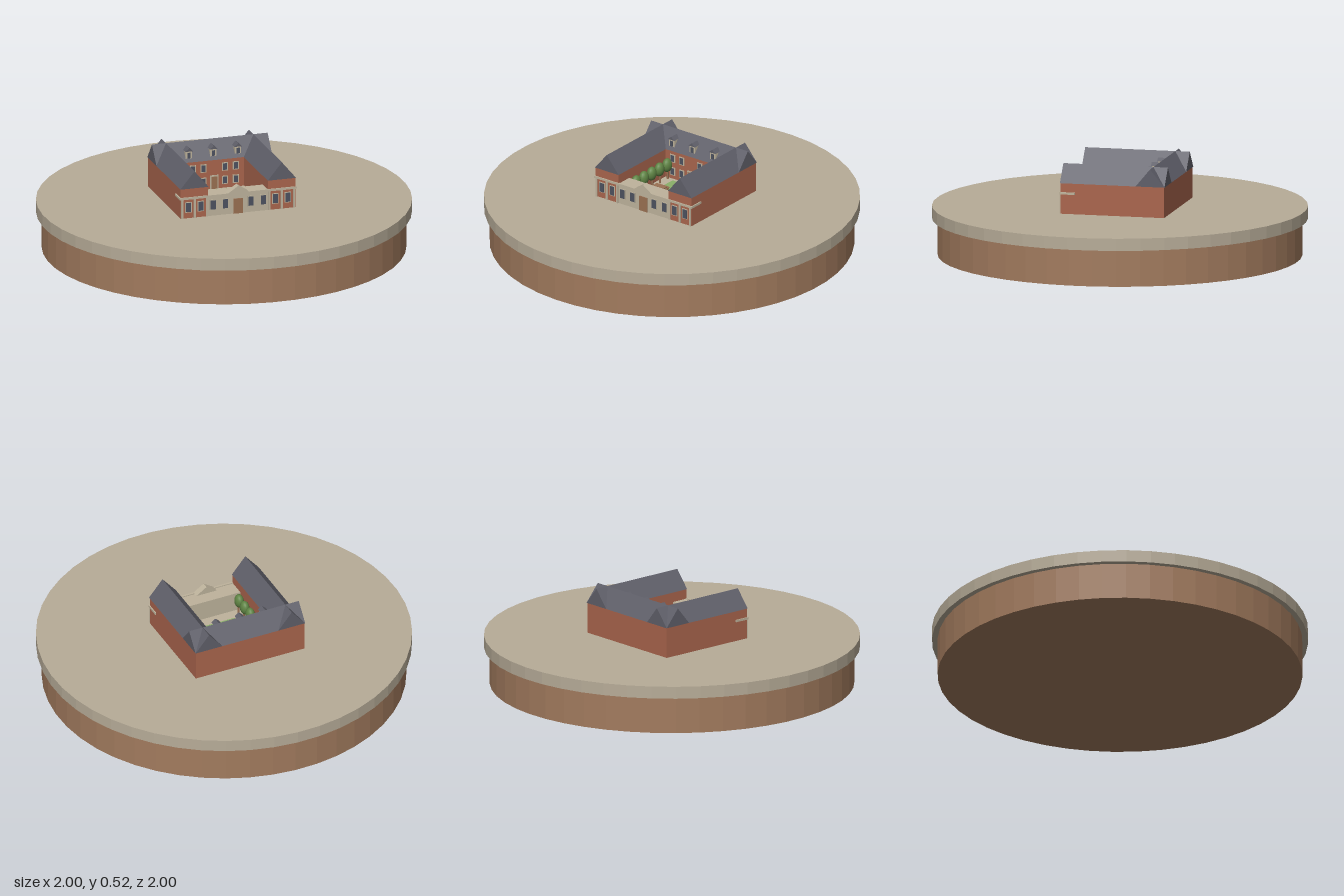
import * as THREE from 'three';

const mat = (name, color, extra = {}) => {
  const m = new THREE.MeshStandardMaterial({ color, ...extra });
  m.name = name;
  return m;
};

export function createModel() {
  const sand = mat('sand', 0xb7ac98, { flatShading: true });
  const earth = mat('earth', 0xa27b5e, { flatShading: true });
  const brick = mat('brick', 0xaa654d);
  const slate = mat('slate', 0x5f5f69);
  const stone = mat('stone', 0xbeb39c);
  const grass = mat('grass', 0x8aaf69);
  const leaf = mat('leaf', 0x5f8444);
  const wood = mat('wood', 0x9a7052);
  const glass = mat('glass', 0x4d5260);

  const model = new THREE.Group();
  model.name = 'courtyardHouseOnDisc';
  const add = (parent, name, geo, material, x = 0, y = 0, z = 0) => {
    const mesh = new THREE.Mesh(geo, material);
    mesh.name = name;
    mesh.position.set(x, y, z);
    parent.add(mesh);
    return mesh;
  };
  // Box placed by its bottom centre
  const box = (parent, name, material, w, h, d, x, y, z) =>
    add(parent, name, new THREE.BoxGeometry(w, h, d), material, x, y + h / 2, z);
  // Triangular prism running along z, centred, base at y = 0
  const prism = (w, h, len) => {
    const s = new THREE.Shape([[-w / 2, 0], [w / 2, 0], [0, h]].map(p => new THREE.Vector2(...p)));
    return new THREE.ExtrudeGeometry(s, { depth: len, bevelEnabled: false }).translate(0, 0, -len / 2);
  };

  // Round plinth
  add(model, 'plinth', new THREE.CylinderGeometry(0.97, 0.97, 0.2, 48), earth, 0, 0.1, 0);
  add(model, 'plinthTop', new THREE.CylinderGeometry(1, 1, 0.066, 48), sand, 0, 0.232, 0);

  // House, turned on the plinth; its local floor is y = 0
  const house = new THREE.Group();
  house.name = 'house';
  house.position.set(0.011, 0.265, -0.034);
  house.rotation.y = -THREE.MathUtils.degToRad(20);
  model.add(house);

  const W = 0.64, D = 0.566, T = 0.152, H = 0.165, R = 0.095;
  const front = D / 2, wingX = (W - T) / 2, backZ = -(D - T) / 2;

  // Brick wings and slate gable roofs
  for (const s of [-1, 1]) {
    box(house, 'wingWall', brick, T, H, D, s * wingX, 0, 0);
    add(house, 'wingRoof', prism(T + 0.006, R, D + 0.006), slate, s * wingX, H, 0);
  }
  box(house, 'backWall', brick, W - 2 * T, H, T, 0, 0, backZ);
  add(house, 'backRoof', prism(T + 0.006, R, W + 0.006), slate, 0, H, backZ).rotation.y = Math.PI / 2;

  // Low stone entrance range between the wings
  const innerW = W - 2 * T;
  box(house, 'entranceRange', stone, innerW, 0.112, 0.095, 0, 0, front - 0.0475);
  box(house, 'frontCornice', stone, W + 0.012, 0.012, 0.012, 0, 0.105, front);
  for (const s of [-1, 1]) box(house, 'sideCornice', stone, 0.012, 0.012, 0.085, s * W / 2, 0.105, front - 0.0365);
  add(house, 'pediment', prism(0.12, 0.04, 0.036), stone, 0, 0.115, front - 0.012);
  box(house, 'door', wood, 0.052, 0.083, 0.006, 0, 0, front + 0.002);

  // Front windows and wing pilasters, mirrored
  for (const s of [-1, 1]) {
    for (const x of [0.072, 0.14, 0.208, 0.277]) {
      box(house, 'windowFrame', stone, 0.036, 0.058, 0.004, s * x, 0.032, front + 0.001);
      box(house, 'windowPane', glass, 0.028, 0.05, 0.006, s * x, 0.036, front + 0.002);
    }
    for (const x of [0.174, 0.243, 0.312])
      box(house, 'pilaster', stone, 0.011, 0.106, 0.008, s * x, 0, front + 0.002);
  }

  // Courtyard face of the back wing
  const inner = -D / 2 + T;
  for (const x of [-0.12, -0.06, 0.06, 0.12]) for (const y of [0.025, 0.1]) {
    box(house, 'courtWindowFrame', stone, 0.034, 0.046, 0.004, x, y, inner + 0.001);
    box(house, 'courtWindowPane', glass, 0.022, 0.036, 0.006, x, y + 0.005, inner + 0.002);
  }
  box(house, 'courtDoorFrame', stone, 0.046, 0.08, 0.004, 0, 0, inner + 0.001);
  box(house, 'courtDoor', wood, 0.034, 0.072, 0.006, 0, 0, inner + 0.002);

  // Dormers on the inner slope of the back roof
  for (const x of [-0.137, 0, 0.137]) {
    const dormer = new THREE.Group();
    dormer.name = 'dormer';
    dormer.position.set(x, H, inner - 0.032);
    house.add(dormer);
    box(dormer, 'dormerBody', stone, 0.036, 0.05, 0.04, 0, 0.008, 0);
    box(dormer, 'dormerPane', glass, 0.018, 0.03, 0.004, 0, 0.02, 0.021);
    add(dormer, 'dormerRoof', prism(0.044, 0.018, 0.05), slate, 0, 0.058, 0);
  }

  // Courtyard paving and lawn
  box(house, 'paving', stone, innerW, 0.004, 0.33, 0, 0, 0.03);
  box(house, 'lawn', grass, 0.268, 0.008, 0.228, 0.031, 0, 0.008);

  // Row of round trees along one wing
  for (let i = 0; i < 5; i++) {
    const z = -0.115 + i * 0.068;
    add(house, 'treeTrunk', new THREE.CylinderGeometry(0.005, 0.006, 0.06, 8), wood, -0.142, 0.03, z);
    add(house, 'treeCrown', new THREE.SphereGeometry(0.031, 16, 12).scale(0.8, 1.25, 1), leaf, -0.146, 0.082, z);
  }

  // Picnic tables
  for (const [x, turn] of [[-0.068, 0.05], [0.126, -0.08]]) {
    const table = new THREE.Group();
    table.name = 'picnicTable';
    table.position.set(x, 0.006, 0.048);
    table.rotation.y = turn;
    house.add(table);
    box(table, 'tableTop', wood, 0.072, 0.005, 0.036, 0, 0.032, 0);
    for (const s of [-1, 1]) {
      box(table, 'bench', wood, 0.066, 0.005, 0.014, 0, 0.017, s * 0.034);
      box(table, 'tableLeg', wood, 0.006, 0.034, 0.024, s * 0.024, 0, 0);
      box(table, 'benchRail', wood, 0.006, 0.005, 0.074, s * 0.024, 0.013, 0);
      for (const t of [-1, 1]) box(table, 'benchLeg', wood, 0.006, 0.018, 0.006, s * 0.024, 0, t * 0.034);
    }
  }
  return model;
}
